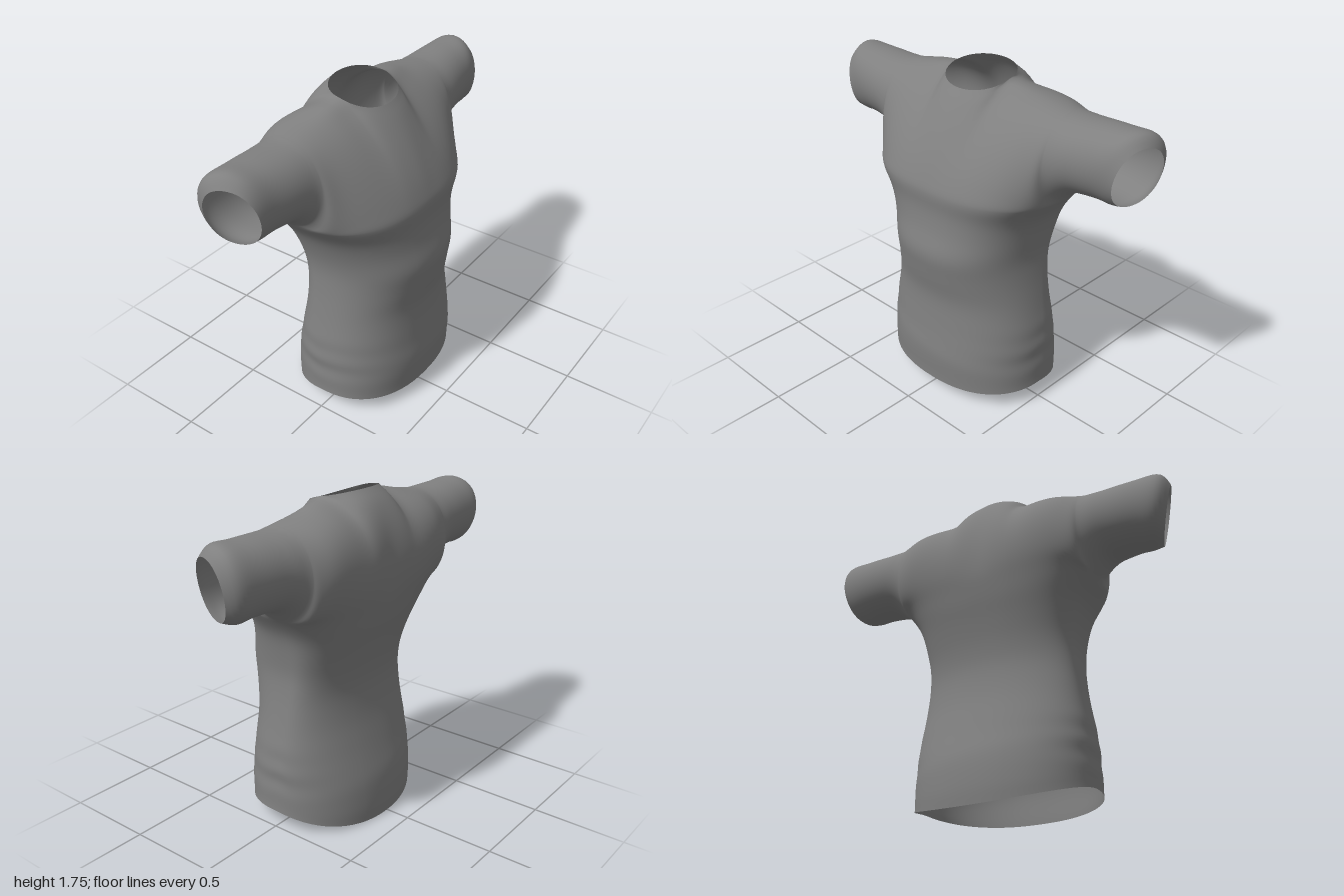
import * as THREE from 'three';
import { mergeVertices } from 'three/addons/utils/BufferGeometryUtils.js';

const { smoothstep, lerp } = THREE.MathUtils;

// Smooth interpolation of table rows [key, values...]
function sample(table, t) {
  const n = table.length - 1;
  t = Math.min(Math.max(t, table[0][0]), table[n][0]);
  let i = 0;
  while (i < n - 1 && t > table[i + 1][0]) i++;
  const a = table[i], b = table[i + 1], h = b[0] - a[0], s = (t - a[0]) / h;
  const p = table[Math.max(i - 1, 0)], q = table[Math.min(i + 2, n)];
  return a.map((v, k) => {
    const m0 = (b[k] - p[k]) / (b[0] - p[0]) * h, m1 = (q[k] - v) / (q[0] - a[0]) * h;
    const s2 = s * s, s3 = s2 * s;
    return (2 * s3 - 3 * s2 + 1) * v + (s3 - 2 * s2 + s) * m0 + (3 * s2 - 2 * s3) * b[k] + (s3 - s2) * m1;
  });
}

// Trunk: height, half width, front z, back z
const TRUNK = [
  [0, .49, .35, -.368], [.1, .488, .35, -.372], [.25, .483, .358, -.36], [.42, .474, .342, -.317],
  [.6, .445, .335, -.275], [.75, .425, .36, -.26], [.87, .42, .375, -.273], [1, .443, .35, -.305],
  [1.1, .48, .34, -.335], [1.2, .55, .345, -.36],
];

// Shoulder and sleeve sections: x, underside y, underside z,
// front curve controls (z, y, z, y), back curve controls (z, y, z, y), top z, top y
const ARM = [
  [0, 1.2, -.1, .315, 1.33, .20, 1.54, -.39, 1.36, -.38, 1.62, -.07, 1.73],
  [.19, 1.2, -.1, .305, 1.33, .14, 1.6, -.405, 1.36, -.42, 1.65, -.07, 1.73],
  [.4, 1.2, -.1, .25, 1.3, .13, 1.66, -.40, 1.34, -.43, 1.67, -.11, 1.68],
  [.55, 1.2, -.1, .17, 1.21, .17, 1.65, -.385, 1.21, -.395, 1.65, -.11, 1.655],
  [.6, 1.25, -.1, .155, 1.25, .155, 1.65, -.375, 1.25, -.38, 1.65, -.11, 1.65],
  [.66, 1.282, -.1, .143, 1.282, .143, 1.65, -.365, 1.282, -.365, 1.65, -.11, 1.65],
  [.8, 1.292, -.1, .117, 1.292, .117, 1.655, -.345, 1.292, -.345, 1.655, -.115, 1.655],
  [.9, 1.285, -.1, .1, 1.285, .1, 1.655, -.318, 1.285, -.318, 1.655, -.105, 1.655],
  [.95, 1.3, -.08, .087, 1.3, .087, 1.605, -.247, 1.3, -.247, 1.605, -.08, 1.605],
];
const PIT_X = .55, PIT_Y = 1.2, NECK_X = .19, CUFF_X = .95;

// Trunk outline at a fraction f of the half width
function outline(f, y, front) {
  const row = sample(TRUNK, y), mid = -.1 * y / PIT_Y, k = smoothstep(y, .7, PIT_Y);
  const n = front ? 2.3 + .3 * k : 2.15 + .45 * k;
  const c = Math.pow(Math.max(0, 1 - Math.pow(Math.abs(f), n)), 1 / n);
  return { z: mid + ((front ? row[2] : row[3]) - mid) * c, w: row[1], c };
}

// Point on the trunk; t runs from hem to armpit level
function trunkPoint(x, t, front) {
  const f = x / PIT_X;
  const c0 = outline(f, .1, front).c;
  const hem = front ? .108 - .025 * c0 * c0 : .108 - .098 * Math.pow(c0, 1.5);
  const y = hem + (PIT_Y - hem) * t;
  const { z, w } = outline(f, y, front);
  // soft cloth folds above the hem, strongest at the sides
  const band = Math.exp(-(((y - .31) / .1) ** 2));
  const fold = band * Math.sin(y * 52 + f * 3) * (.001 + .006 * f ** 6);
  const shift = .015 * (1 - smoothstep(y, .9, PIT_Y));
  return [f * (w + fold) + shift, y, z + fold * (front ? .8 : -.5) * (1 - f ** 6)];
}

// Point on the yoke and sleeves; t runs from underside to shoulder line or neckline
function yokePoint(x, t, front) {
  let ax = Math.abs(x);
  const r = sample(ARM, ax), inside = ax <= PIT_X;
  const z0 = inside ? outline(ax / PIT_X, PIT_Y, front).z : r[2];
  const y0 = inside ? PIT_Y : r[1];
  const [z1, y1, z2, y2] = front ? r.slice(3, 7) : r.slice(7, 11);
  let z3 = r[11], y3 = r[12];
  if (ax < NECK_X) {
    // columns fan out to follow the round neckline
    const angle = ax / NECK_X * Math.PI / 2;
    z3 = -.07 + (front ? .16 : -.148) * Math.pow(Math.cos(angle), .87);
    y3 = front ? lerp(1.73, 1.675, Math.cos(angle)) : lerp(1.73, 1.762, Math.cos(angle));
    ax = lerp(ax, NECK_X * Math.sin(angle), t * t);
  }
  const u = 1 - t, b = [u * u * u, 3 * u * u * t, 3 * u * t * t, t * t * t];
  const z = b[0] * z0 + b[1] * z1 + b[2] * z2 + b[3] * z3;
  const y = b[0] * y0 + b[1] * y1 + b[2] * y2 + b[3] * y3;
  // slanted cuff
  const k = smoothstep(ax, .7, CUFF_X);
  const slant = k * (-.36 * (z + .075) + .2 * (y - 1.45));
  return [Math.sign(x) * (ax + slant), y, z];
}

// Mirrored column positions: neck, shoulder, then sleeve
function columns(withSleeves) {
  const half = [];
  for (let i = 1; i <= 10; i++) half.push(NECK_X * i / 10);
  for (let i = 1; i <= 20; i++) half.push(NECK_X + (PIT_X - NECK_X) * Math.sin(i / 20 * Math.PI / 2));
  if (withSleeves) for (let i = 1; i <= 24; i++) half.push(PIT_X + (CUFF_X - PIT_X) * i / 24);
  return [...half.map(v => -v).reverse(), 0, ...half];
}

function addSheet(out, point, xs, rows, front) {
  const at = (i, j) => point(xs[i], j / rows, front);
  for (let i = 0; i < xs.length - 1; i++) {
    for (let j = 0; j < rows; j++) {
      const a = at(i, j), b = at(i + 1, j), c = at(i + 1, j + 1), d = at(i, j + 1);
      if (front) out.push(...a, ...b, ...c, ...a, ...c, ...d);
      else out.push(...a, ...c, ...b, ...a, ...d, ...c);
    }
  }
}

// Relax the cloth without shrinking it; open edges stay in place
function relax(geometry, passes) {
  const pos = geometry.attributes.position, index = geometry.index.array;
  const links = Array.from({ length: pos.count }, () => new Map());
  for (let i = 0; i < index.length; i += 3) {
    for (let e = 0; e < 3; e++) {
      const a = index[i + e], b = index[i + (e + 1) % 3];
      if (a === b) continue;
      links[a].set(b, (links[a].get(b) || 0) + 1);
      links[b].set(a, (links[b].get(a) || 0) + 1);
    }
  }
  const p = Array.from({ length: pos.count }, (_, i) => new THREE.Vector3().fromBufferAttribute(pos, i));
  const weights = links.map((m, i) => {
    if ([...m.values()].includes(1)) return [];
    const list = [...m.keys()].map(j => [j, 1 / Math.max(.002, p[i].distanceTo(p[j]))]);
    const sum = list.reduce((s, l) => s + l[1], 0);
    return list.map(([j, w]) => [j, w / sum]);
  });
  for (let n = 0; n < passes * 2; n++) {
    const step = n % 2 ? -.52 : .5;
    const moves = weights.map((list, i) => {
      const d = new THREE.Vector3();
      for (const [j, w] of list) d.addScaledVector(p[j], w).addScaledVector(p[i], -w);
      return d;
    });
    moves.forEach((d, i) => p[i].addScaledVector(d, step));
  }
  p.forEach((v, i) => pos.setXYZ(i, v.x, v.y, v.z));
}

export function createModel() {
  const group = new THREE.Group();
  group.name = 'tShirt';
  const cloth = new THREE.MeshStandardMaterial({ color: 0x808080, side: THREE.DoubleSide });
  cloth.name = 'grey cloth';

  // Front and back sheets, welded along sides, shoulders and sleeves;
  // hem, neckline and cuffs stay open
  const positions = [];
  for (const front of [true, false]) {
    addSheet(positions, trunkPoint, columns(false), 60, front);
    addSheet(positions, yokePoint, columns(true), 28, front);
  }
  let geometry = new THREE.BufferGeometry();
  geometry.setAttribute('position', new THREE.Float32BufferAttribute(positions, 3));
  geometry = mergeVertices(geometry, 1e-4);
  relax(geometry, 40);
  geometry.computeVertexNormals();

  const shirt = new THREE.Mesh(geometry, cloth);
  shirt.name = 'shirtBody';
  group.add(shirt);

  // Stand on the ground, centred
  const box = new THREE.Box3().setFromObject(group);
  const c = box.getCenter(new THREE.Vector3());
  shirt.position.set(-c.x, -box.min.y, -c.z);
  return group;
}
